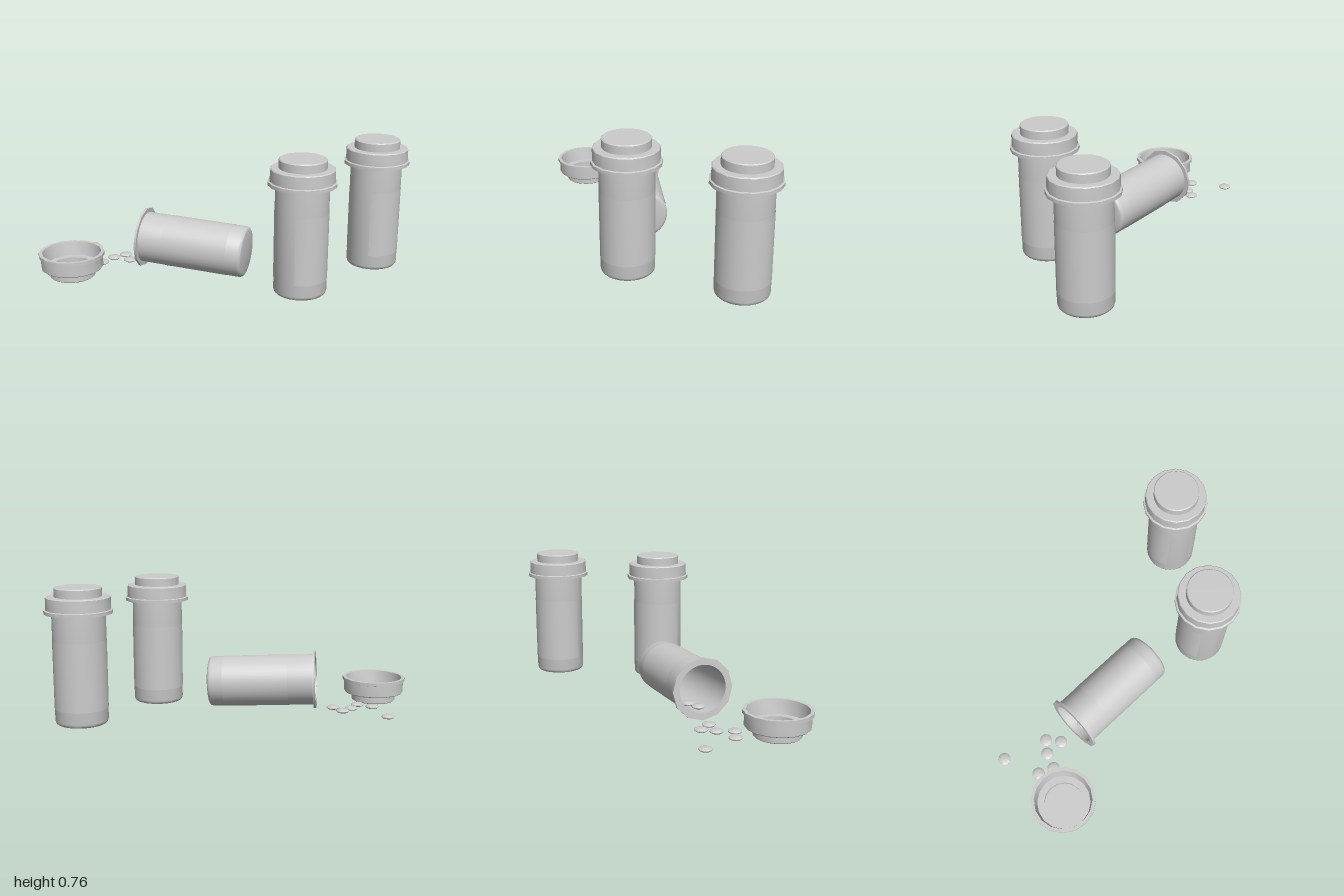
import * as THREE from 'three';
import { toCreasedNormals } from 'three/addons/utils/BufferGeometryUtils.js';

const material = new THREE.MeshStandardMaterial({ color: 0xcccccc, side: THREE.DoubleSide });

// Turned part from [radius, height] pairs, outside listed upward
function turned(name, profile, sides) {
  const points = profile.map(([r, y]) => new THREE.Vector2(r, y));
  const mesh = new THREE.Mesh(toCreasedNormals(new THREE.LatheGeometry(points, sides), 0.6), material);
  mesh.name = name;
  return mesh;
}

function makeBottle(name) {
  const bottle = new THREE.Group();
  bottle.name = name;
  // Hollow body with a softened base edge and an open mouth
  bottle.add(turned('bottleBody', [
    [0, 0], [0.125, 0], [0.137, 0.003], [0.144, 0.01], [0.147, 0.022], [0.147, 0.626],
    [0.135, 0.626], [0.135, 0.02], [0, 0.02],
  ], 40));
  // Thin faceted flange round the mouth
  bottle.add(turned('mouthFlange', [
    [0.14, 0.614], [0.175, 0.614], [0.175, 0.627], [0.14, 0.627], [0.14, 0.614],
  ], 12));
  // Wrapped label, just proud of the body
  const label = new THREE.Mesh(
    new THREE.CylinderGeometry(0.1485, 0.1485, 0.38, 40, 1, true, 0, Math.PI * 1.7), material);
  label.name = 'label';
  label.position.y = 0.28;
  bottle.add(label);
  return bottle;
}

function makeCap(name) {
  const cap = new THREE.Group();
  cap.name = name;
  // Faceted skirt with a rim at its open end
  cap.add(turned('capSkirt', [
    [0.115, 0.08], [0.155, 0.08], [0.168, 0.0], [0.188, 0], [0.188, 0.019], [0.178, 0.022],
    [0.177, 0.088], [0.172, 0.093], [0.125, 0.093],
  ], 16));
  // Hollow round crown
  cap.add(turned('capCrown', [
    [0, 0.13], [0.117, 0.13], [0.117, 0.08], [0.13, 0.08], [0.13, 0.138], [0.125, 0.143], [0, 0.143],
  ], 32));
  return cap;
}

function makePill(x, y, z) {
  const pill = turned('pill', [
    [0, -0.012], [0.018, -0.011], [0.03, -0.008], [0.037, -0.002],
    [0.037, 0.002], [0.03, 0.008], [0.018, 0.011], [0, 0.012],
  ], 20);
  pill.position.set(x, y, z);
  return pill;
}

export function createModel() {
  const model = new THREE.Group();
  model.name = 'pillBottles';

  // Two closed upright bottles
  for (const [x, z] of [[0.495, 0.197], [0.809, -0.363]]) {
    const bottle = makeBottle('uprightBottle');
    const cap = makeCap('closedCap');
    cap.position.y = 0.617;
    bottle.add(cap);
    bottle.position.set(x, 0, z);
    model.add(bottle);
  }

  // Open bottle lying with its mouth toward -x
  const lying = makeBottle('lyingBottle');
  lying.rotation.z = Math.PI / 2 - 0.047;
  lying.position.set(0.157, 0.15, 0.085);
  model.add(lying);

  // Removed cap resting upside down
  const loose = makeCap('looseCap');
  loose.rotation.x = Math.PI;
  loose.position.set(-0.812, 0.143, 0.358);
  model.add(loose);

  // Spilled pills, with two still in the mouth
  for (const [x, z] of [[-0.885, -0.085], [-0.63, 0.005], [-0.68, 0.07],
    [-0.573, 0.075], [-0.8, 0.122], [-0.714, 0.16]]) {
    model.add(makePill(x, 0.016, z));
  }
  model.add(makePill(-0.4, 0.06, 0.09), makePill(-0.33, 0.06, 0.06));
  return model;
}
